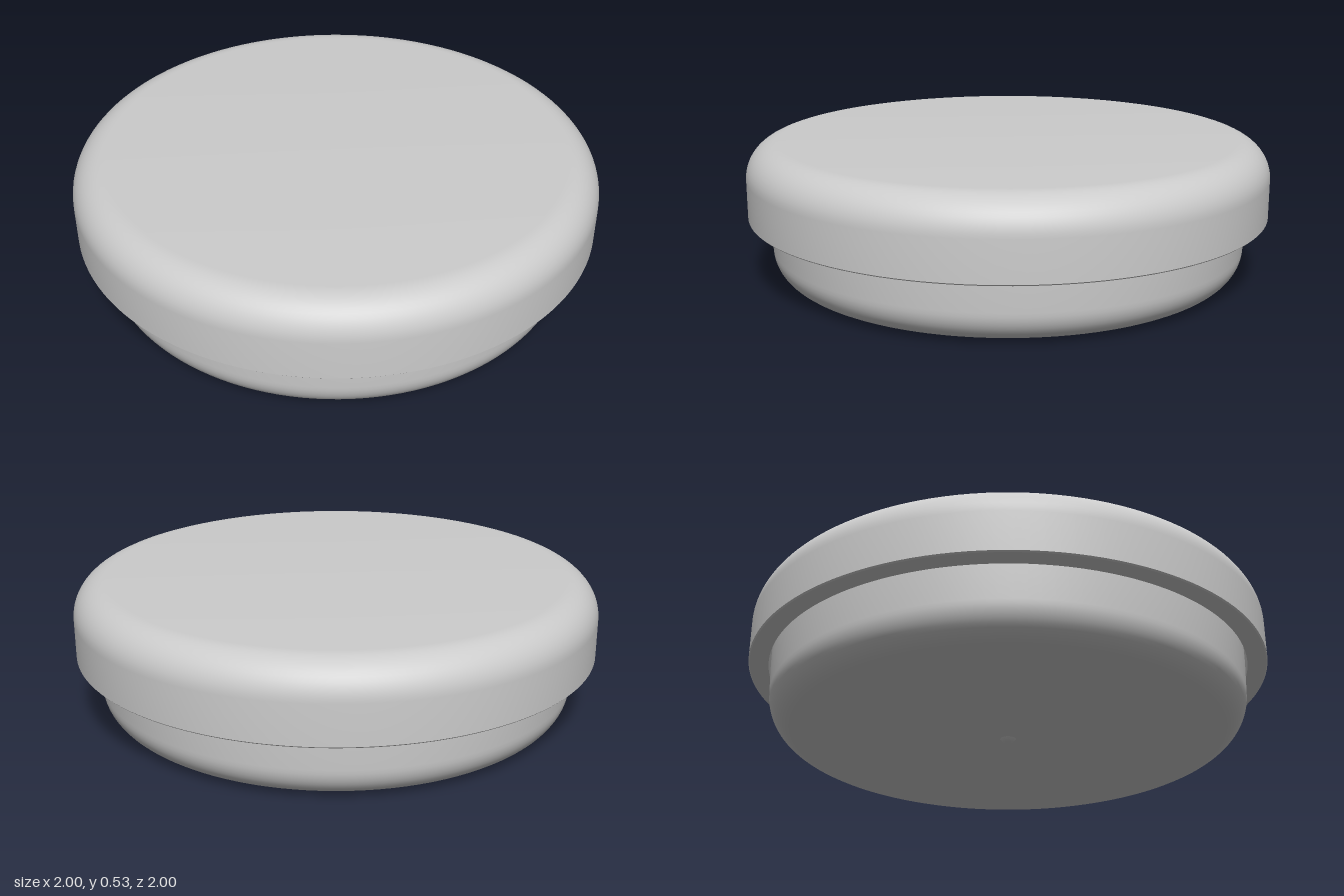
import * as THREE from 'three';
import { toCreasedNormals } from 'three/addons/utils/BufferGeometryUtils.js';

const material = new THREE.MeshStandardMaterial({ color: 0xcccccc });

// Rounded corner: points on a quarter ellipse from angle a to angle b
function corner(cx, cy, rx, ry, a, b, steps = 12) {
  return Array.from({ length: steps + 1 }, (_, i) => {
    const t = a + ((b - a) * i) / steps;
    return [cx + rx * Math.cos(t), cy + ry * Math.sin(t)];
  });
}

function turned(name, profile) {
  const points = profile.map(([r, y]) => new THREE.Vector2(Math.max(r, 0), y));
  const geometry = toCreasedNormals(new THREE.LatheGeometry(points, 128), 0.6);
  const mesh = new THREE.Mesh(geometry, material);
  mesh.name = name;
  return mesh;
}

export function createModel() {
  const group = new THREE.Group();
  group.name = 'roundContainer';

  // Tub: shallow moulded dimple with a tiny nub, rounded foot, wall running up into the lid
  group.add(turned('tub', [
    [0, 0], [0.012, 0.001], [0.022, 0.005], [0.03, 0.014],
    [0.07, 0.013], [0.13, 0.01], [0.175, 0.006],
    [0.8, 0.006],
    ...corner(0.8, 0.126, 0.112, 0.12, -Math.PI / 2, 0),
    [0.916, 0.245], [0.916, 0.46], [0, 0.46],
  ]));

  // Lid: hollow underneath, flat rim, straight skirt and soft top edge
  group.add(turned('lid', [
    [0, 0.47], [0.925, 0.47], [0.925, 0.247],
    [0.995, 0.247], [1, 0.252],
    ...corner(0.87, 0.4, 0.13, 0.13, 0, Math.PI / 2),
    [0, 0.53],
  ]));

  return group;
}
